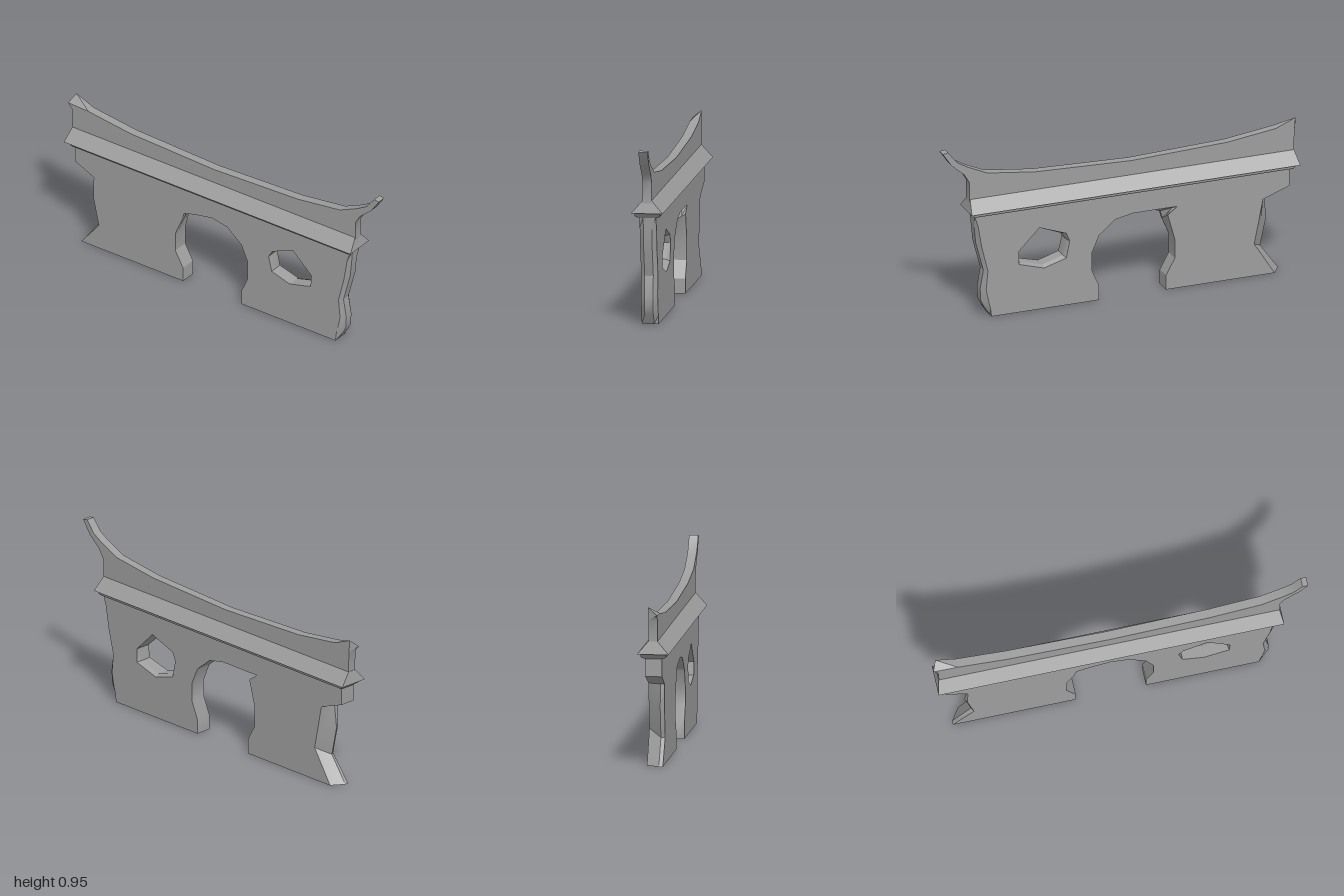
import * as THREE from 'three';
import { toCreasedNormals } from 'three/addons/utils/BufferGeometryUtils.js';

// Double-sided because the wall is an open shell at the ground
const material = new THREE.MeshStandardMaterial({ color: 0x9d9d9d, side: THREE.DoubleSide });

// Joins matching [z, y] loops at several x positions and caps both ends, open on the ground.
// Each layer is { x, loops }: first loop counter-clockwise, holes clockwise.
function loft(layers, crease) {
  const pos = [];
  const tri = (...pts) => pts.forEach(([x, z, y]) => pos.push(x, y, z));

  for (let k = 0; k < layers.length - 1; k++) {
    const A = layers[k], B = layers[k + 1];
    A.loops.forEach((loop, l) => loop.forEach((p, i) => {
      const j = (i + 1) % loop.length;
      if (p[1] === 0 && loop[j][1] === 0) return;
      const a = [A.x, ...p], b = [A.x, ...loop[j]];
      const c = [B.x, ...B.loops[l][j]], d = [B.x, ...B.loops[l][i]];
      tri(a, d, c);
      tri(a, c, b);
    }));
  }

  for (const [layer, sign] of [[layers[0], 1], [layers[layers.length - 1], -1]]) {
    const loops = layer.loops.map(l => l.map(p => new THREE.Vector2(...p)));
    const all = layer.loops.flat();
    for (const [i, j, k] of THREE.ShapeUtils.triangulateShape(loops[0], loops.slice(1))) {
      const [a, b, c] = [all[i], all[j], all[k]];
      const area = (b[0] - a[0]) * (c[1] - a[1]) - (b[1] - a[1]) * (c[0] - a[0]);
      const t = [a, b, c].map(p => [layer.x, ...p]);
      tri(...(area * sign > 0 ? t : t.reverse()));
    }
  }

  const geo = new THREE.BufferGeometry();
  geo.setAttribute('position', new THREE.Float32BufferAttribute(pos, 3));
  geo.computeVertexNormals();
  return toCreasedNormals(geo, crease);
}

// Cross-section in x, y (mirrored from its right half) run along z;
// both ends lean inward by slope below the top of the section
function prism(half, z0, z1, slope) {
  const mirrored = half.map(([x, y]) => [-x, y]).reverse();
  const shape = new THREE.Shape([...half, ...mirrored].map(p => new THREE.Vector2(...p)));
  const geo = new THREE.ExtrudeGeometry(shape, { depth: z1 - z0, bevelEnabled: false });
  geo.translate(0, 0, z0);
  const top = Math.max(...half.map(p => p[1]));
  const p = geo.attributes.position;
  for (let i = 0; i < p.count; i++) {
    p.setZ(i, p.getZ(i) - Math.sign(p.getZ(i)) * slope * (top - p.getY(i)));
  }
  geo.computeVertexNormals();
  return geo;
}

function createModel() {
  const group = new THREE.Group();
  const add = (name, geo) => {
    const mesh = new THREE.Mesh(geo, material);
    mesh.name = name;
    group.add(mesh);
  };

  // Wall rows: z, y of the core, then offsets on the left face and on the right face
  // (the right face repeats the left offsets unless given)
  const wallOutline = [
    [-0.90, 0, 0.045, 0, 0, 0],
    // doorway
    [-0.245, 0], [-0.245, 0.08], [-0.295, 0.17], [-0.295, 0.275],
    [-0.25, 0.38, -0.005, 0.04, 0, 0],
    [-0.24, 0.42, -0.07, 0.04, 0, 0],
    [-0.17, 0.44, -0.07, 0.02, 0, 0],
    [-0.06, 0.46], [0.04, 0.44], [0.13, 0.365],
    [0.17, 0.275], [0.17, 0.17], [0.13, 0.08], [0.13, 0],
    // worn front end
    [0.735, 0],
    [0.77, 0.055, -0.03, -0.01],
    [0.787, 0.09, -0.04, -0.02],
    [0.79, 0.155, -0.025, 0.0],
    [0.772, 0.26, -0.017, 0.0],
    [0.815, 0.42, -0.025, -0.02],
    [0.825, 0.52, -0.015, 0.0],
    [0.83, 0.58],
    // worn back end
    [-0.94, 0.58],
    [-0.94, 0.48],
    [-0.82, 0.425, 0.03, 0, 0, 0],
    [-0.835, 0.3, 0.07, 0, 0.012, 0],
    [-0.80, 0.14, 0.06, 0.04, 0.012, 0],
  ];
  // Broken window, clockwise
  const windowOutline = [
    [0.44, 0.24, 0, -0.012, 0, 0],
    [0.325, 0.275, -0.01, -0.01, 0, 0],
    [0.305, 0.36, -0.01, 0, 0, 0],
    [0.33, 0.40, -0.015, 0.005, 0, 0],
    [0.46, 0.455, 0.005, 0.005, 0, 0],
    [0.58, 0.345],
    [0.57, 0.275, 0.01, -0.005, 0.005, 0],
  ];
  const rightFace = ([z, y, dz = 0, dy = 0, ez = dz, ey = dy]) => [z + ez, y + ey];
  const core = ([z, y]) => [z, y];
  // The doorway notch and back end are cut through from the left face to the core
  const cut = ([z, y, dz = 0, dy = 0]) => (z < -0.1 ? [z + dz * 0.67, y + dy * 0.67] : [z, y]);
  const leftFace = ([z, y, dz = 0, dy = 0]) => [z + dz, y + dy];
  const layer = (x, rule) => ({ x, loops: [wallOutline.map(rule), windowOutline.map(rule)] });
  add('wall', loft([
    layer(-0.044, rightFace), layer(-0.023, core), layer(0.022, cut), layer(0.044, leftFace),
  ], 0.43));

  // Sloping roof and the undercut moulding beneath it
  add('roof', prism([[0.083, 0.602], [0.024, 0.67]], -0.972, 0.847, -0.19));
  add('roofMoulding', prism(
    [[0.044, 0.575], [0.063, 0.58], [0.067, 0.588], [0.067, 0.602]], -0.97, 0.852, 0.8));

  // Sagging ridge with upturned ends, the back tip chipped lower on the right
  const ridgeOutline = backTip => [
    [-0.97, 0.61], [0.85, 0.61], [0.85, 0.67], [0.85, 0.765], [0.88, 0.815],
    [0.95, 0.875], [1, 0.948], [0.97, 0.953], [0.92, 0.89], [0.86, 0.855],
    [0.75, 0.805], [0.48, 0.77], [-0.06, 0.75], [-0.6, 0.77], [-0.87, 0.805],
    backTip, [-0.975, 0.78], [-0.97, 0.67],
  ];
  add('ridge', loft([
    { x: -0.024, loops: [ridgeOutline([-1, 0.81])] },
    { x: 0.024, loops: [ridgeOutline([-0.98, 0.85])] },
  ], 0.7));

  return group;
}

export { createModel };
